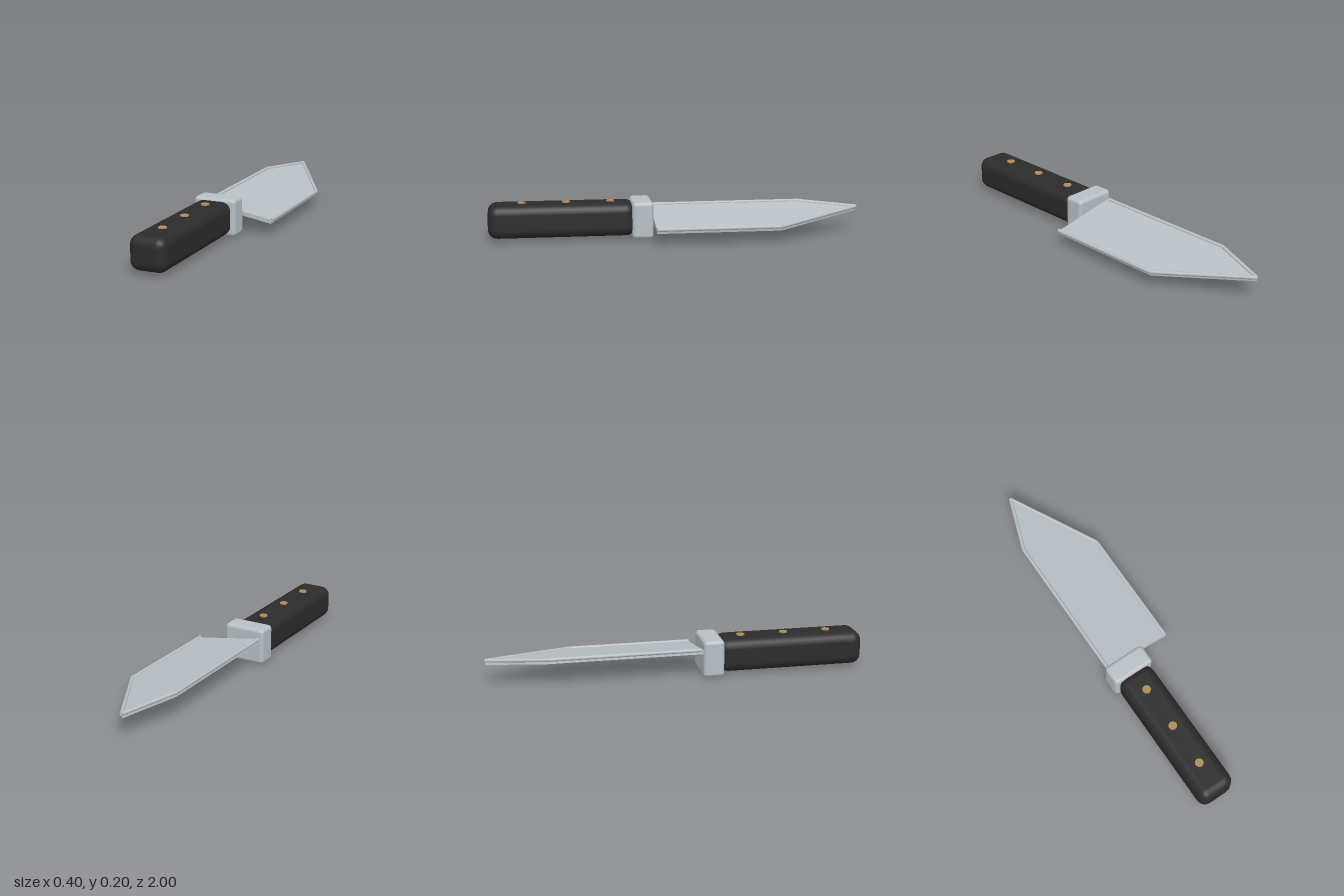
import * as THREE from 'three';
import { RoundedBoxGeometry } from 'three/addons/geometries/RoundedBoxGeometry.js';

const paint = (name, color) => {
  const m = new THREE.MeshStandardMaterial({ color });
  m.name = name;
  return m;
};

export function createModel() {
  const model = new THREE.Group();
  model.name = 'knife';
  const steel = paint('steel', 0xb8c0c5);
  const black = paint('handle black', 0x2b2b2b);
  const brass = paint('brass', 0xb08d57);

  const add = (name, geometry, material, x = 0, y = 0, z = 0, parent = model) => {
    const mesh = new THREE.Mesh(geometry, material);
    mesh.name = name;
    mesh.position.set(x, y, z);
    parent.add(mesh);
    return mesh;
  };

  // Handle and guard
  add('handle', new RoundedBoxGeometry(0.198, 0.178, 0.78, 3, 0.05), black, -0.086, 0.1, 0.61);
  add('guard', new RoundedBoxGeometry(0.232, 0.197, 0.112, 3, 0.02), steel, -0.086, 0.0985, 0.184);

  // Rivets standing just proud of the handle
  for (const z of [0.35, 0.585, 0.82]) {
    add('rivet', new THREE.CylinderGeometry(0.022, 0.022, 0.02, 20), brass, -0.086, 0.185, z);
  }

  // Blade, hinged on its right edge and tilted up to the left
  const blade = new THREE.Group();
  blade.name = 'blade';
  blade.position.set(0.189, 0.083, 0);
  blade.rotation.z = -0.173;
  model.add(blade);

  // Outline as [across, along]
  const outline = [[0, 0.128], [0, -0.53], [-0.264, -0.995], [-0.374, -0.69], [-0.374, 0.118]];
  const shape = new THREE.Shape([...outline.slice(0, 4), [-0.374, 0.128]].map(([x, z]) => new THREE.Vector2(x, z)));
  const plate = new THREE.ExtrudeGeometry(shape, { depth: 0.022, bevelEnabled: false });
  plate.rotateX(Math.PI / 2);
  add('bladePlate', plate, steel, 0, 0, 0, blade);

  // Round rim along the cutting edge, tip and spine
  const up = new THREE.Vector3(0, 1, 0);
  for (let i = 0; i < outline.length - 1; i++) {
    const a = new THREE.Vector3(outline[i][0], 0, outline[i][1]);
    const b = new THREE.Vector3(outline[i + 1][0], 0, outline[i + 1][1]);
    const mid = a.clone().add(b).multiplyScalar(0.5);
    const rim = add('bladeRim', new THREE.CylinderGeometry(0.01, 0.01, a.distanceTo(b), 10), steel, mid.x, 0, mid.z, blade);
    rim.quaternion.setFromUnitVectors(up, b.sub(a).normalize());
  }

  return model;
}
